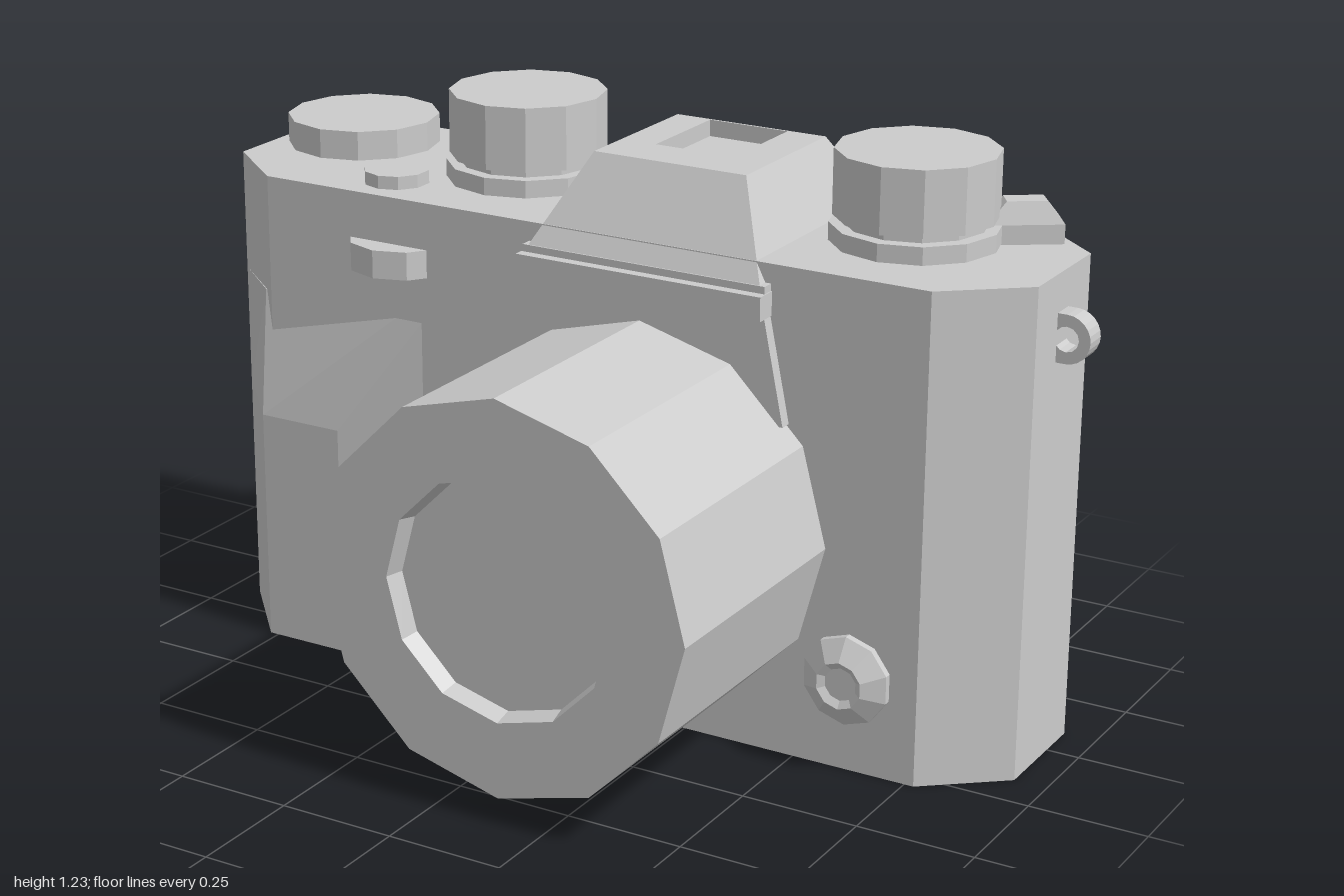
import * as THREE from 'three';

const material = new THREE.MeshStandardMaterial({ color: 0xcccccc, flatShading: true });

function add(parent, name, geometry, x = 0, y = 0, z = 0) {
  const mesh = new THREE.Mesh(geometry, material);
  mesh.name = name;
  mesh.position.set(x, y, z);
  parent.add(mesh);
  return mesh;
}

// Skins convex rings of [x, y, z]; each ring runs counter-clockwise seen from the last one.
function loft(rings) {
  const n = rings[0].length, last = (rings.length - 1) * n, index = [];
  for (let r = 0; r < last; r += n) {
    for (let i = 0; i < n; i++) {
      const a = r + i, b = r + (i + 1) % n;
      index.push(a, b, b + n, a, b + n, a + n);
    }
  }
  for (let i = 1; i < n - 1; i++) {
    index.push(0, i + 1, i, last, last + i, last + i + 1);
  }
  const g = new THREE.BufferGeometry();
  g.setAttribute('position', new THREE.Float32BufferAttribute(rings.flat(2), 3));
  g.setIndex(index);
  const flat = g.toNonIndexed();
  flat.computeVertexNormals();
  return flat;
}

// Rings lying flat at height y, or upright at depth z
const level = (y, points) => points.map(([x, z]) => [x, y, z]);
const upright = (z, points) => points.map(([x, y]) => [x, y, z]);
const floorRect = (y, x0, x1, z0, z1) => level(y, [[x0, z1], [x1, z1], [x1, z0], [x0, z0]]);
const wallRect = (z, x0, x1, y0, y1) => upright(z, [[x0, y0], [x1, y0], [x1, y1], [x0, y1]]);

// Faceted turned part from [radius, height] pairs, listed bottom to top
const turned = (profile, sides) =>
  new THREE.LatheGeometry(profile.map(([r, h]) => new THREE.Vector2(r, h)), sides);
const disc = (r, y0, y1, sides = 12) => turned([[0, y0], [r, y0], [r, y1], [0, y1]], sides);

export function createModel() {
  const model = new THREE.Group();
  model.name = 'camera';

  // Body with chamfered corners
  const plan = [[-0.93, -0.09], [-0.77, 0.04], [0.77, 0.04], [0.93, -0.09],
    [0.93, -0.34], [0.77, -0.475], [-0.77, -0.475], [-0.93, -0.34]];
  add(model, 'body', loft([level(0, plan), level(1.03, plan)]));

  // Hand grip, fading into the body above
  const grip = [[-0.93, -0.09], [-0.77, 0.085], [-0.575, 0.085], [-0.385, 0.04], [-0.6, -0.1]];
  const gripTop = [[-0.93, -0.09], [-0.8, 0.018], [-0.45, 0.04], [-0.385, 0.04], [-0.6, -0.1]];
  add(model, 'grip', loft([level(0, grip), level(0.51, grip), level(0.77, gripTop)]));

  // Thumb rest filling the rear chamfer
  const thumb = [[-0.93, -0.3], [-0.77, -0.44], [-0.77, -0.476], [-0.93, -0.49]];
  const thumbTop = [[-0.93, -0.3], [-0.8, -0.42], [-0.8, -0.45], [-0.9, -0.365]];
  add(model, 'thumbRest', loft([level(0.44, thumb), level(0.73, thumb), level(0.77, thumbTop)]));

  // Viewfinder hump: flared lower block, sloped roof with an accessory shoe recess
  const flare = [[-0.17, 0.71], [0.475, 0.71], [0.43, 0.925], [0.43, 0.99], [-0.12, 0.99], [-0.12, 0.925]];
  add(model, 'humpBase', loft([upright(-0.51, flare), upright(0.066, flare)]));
  add(model, 'humpRoof', loft([
    floorRect(0.985, -0.11, 0.42, -0.51, 0.066),
    floorRect(1.17, -0.02, 0.325, -0.385, -0.047),
    floorRect(1.17, 0.06, 0.24, -0.38, -0.155),
    floorRect(1.135, 0.06, 0.24, -0.38, -0.155),
  ]));
  add(model, 'humpRidge', new THREE.BoxGeometry(0.555, 0.05, 0.06), 0.155, 0.95, 0.058);

  // Lens barrel with a recessed front
  const lens = add(model, 'lens', turned(
    [[0, 0], [0.41, 0], [0.41, 0.57], [0.25, 0.57], [0.24, 0.53], [0, 0.53]], 12), 0.152, 0.465, 0.03);
  lens.rotation.x = Math.PI / 2;

  // Front button
  const button = add(model, 'frontButton', turned(
    [[0, 0], [0.095, 0], [0.095, 0.025], [0.05, 0.055], [0.035, 0.045], [0, 0.045]], 10), 0.62, 0.2, 0.03);
  button.rotation.x = Math.PI / 2;

  // Front and rear command wheels
  add(model, 'frontWheel', disc(0.118, 0.87, 0.93, 10), -0.465, 0, -0.02);
  add(model, 'rearWheel', disc(0.118, 0.87, 0.93, 10), -0.465, 0, -0.425);

  // Top dials
  add(model, 'cornerDial', disc(0.165, 0.94, 1.093), -0.757, 0, -0.3);
  add(model, 'shutterButton', disc(0.07, 1.02, 1.058, 10), -0.515, 0, -0.07);
  const tallDial = [[0, 1.02], [0.14, 1.02], [0.14, 1.038], [0.172, 1.038], [0.172, 1.075],
    [0.145, 1.075], [0.145, 1.09], [0.165, 1.09], [0.165, 1.225], [0, 1.225]];
  for (const [x, z, leverX, leverZ] of [[-0.285, -0.222, -0.455, -0.375], [0.61, -0.222, 0.795, -0.347]]) {
    const dial = new THREE.Group();
    dial.name = 'dialWithLever';
    model.add(dial);
    add(dial, 'dial', turned(tallDial, 12), x, 0, z);
    const lever = add(dial, 'lever', loft([
      floorRect(1.035, -0.065, 0.09, -0.035, 0.035),
      floorRect(1.075, -0.065, 0.09, -0.035, 0.035),
      floorRect(1.12, -0.03, 0.05, -0.022, 0.022),
    ]), leverX, 0, leverZ);
    lever.rotation.y = Math.atan2(leverZ - z, x - leverX);
  }

  // Strap lugs: rounded loops on both sides
  const loop = new THREE.Shape();
  loop.moveTo(0.92, 0.85);
  loop.lineTo(0.95, 0.85);
  loop.absarc(0.95, 0.9, 0.05, -Math.PI / 2, Math.PI / 2);
  loop.lineTo(0.92, 0.95);
  const eye = new THREE.Path();
  eye.absarc(0.95, 0.9, 0.026, 0, Math.PI * 2, true);
  loop.holes.push(eye);
  const lugGeometry = new THREE.ExtrudeGeometry(loop, { depth: 0.05, bevelEnabled: false, curveSegments: 6 });
  add(model, 'leftStrapLug', lugGeometry, 0, 0, -0.24);
  add(model, 'rightStrapLug', lugGeometry, 0, 0, -0.19).rotation.y = Math.PI;

  // Rear parts, built facing +z and turned round
  const rear = new THREE.Group();
  rear.name = 'rearParts';
  rear.rotation.y = Math.PI;
  model.add(rear);

  // Screen with a bevelled rim
  add(rear, 'screen', loft([
    wallRect(0.46, -0.72, 0.31, 0.08, 0.765),
    wallRect(0.525, -0.72, 0.31, 0.08, 0.765),
    wallRect(0.525, -0.705, 0.295, 0.095, 0.75),
    wallRect(0.49, -0.67, 0.26, 0.13, 0.725),
  ]));

  // Eyepiece with a conical opening
  const eyepiece = add(rear, 'eyepiece', turned(
    [[0, 0], [0.1, 0], [0.1, 0.02], [0.136, 0.02], [0.136, 0.1], [0.085, 0.1], [0.06, 0.05], [0, 0.05]], 10),
  -0.15, 0.9, 0.502);
  eyepiece.rotation.x = Math.PI / 2;
  for (const x of [-0.32, 0.02]) {
    add(rear, 'eyepieceSwitch', new THREE.BoxGeometry(0.04, 0.07, 0.03), x, 0.88, 0.51);
  }

  // Rear control pad and small buttons
  const pad = add(rear, 'controlPad', turned(
    [[0, 0], [0.145, 0], [0.145, 0.025], [0.13, 0.04], [0, 0.04]], 10), 0.545, 0.24, 0.46);
  pad.rotation.x = Math.PI / 2;
  for (const x of [-0.66, -0.52, 0.3, 0.62]) {
    add(rear, 'rearButton', disc(0.025, 0, 0.025, 8), x, 0.885, 0.465).rotation.x = Math.PI / 2;
  }

  return model;
}
